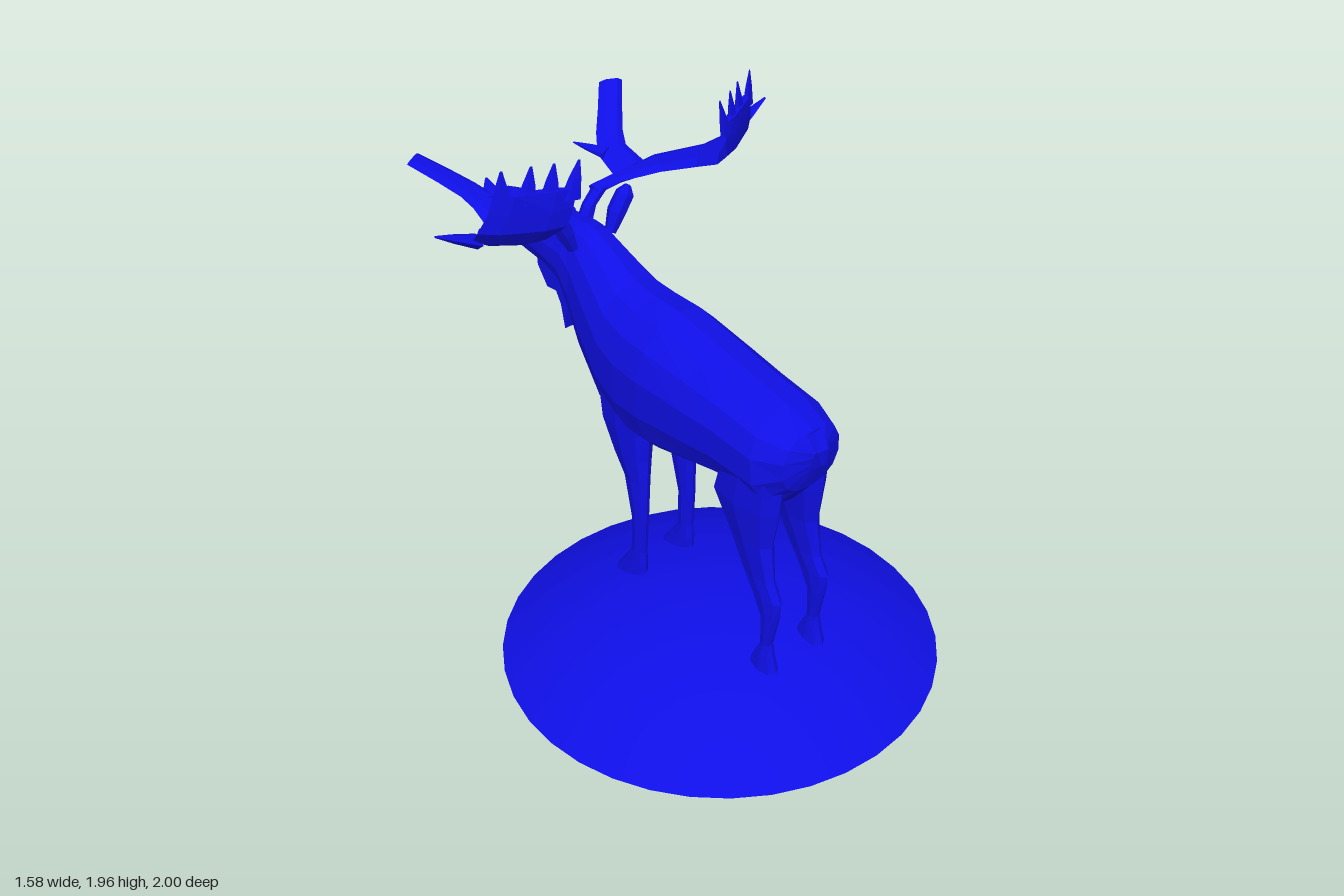
import * as THREE from 'three';

const V = (x, y, z) => new THREE.Vector3(x, y, z);

// Closed, capped skin over a list of equal-length rings, faceted, facing outwards
function loft(rings) {
  const n = rings[0].length, tris = [];
  for (let i = 0; i < rings.length - 1; i++) {
    for (let j = 0; j < n; j++) {
      const k = (j + 1) % n, a = rings[i], b = rings[i + 1];
      tris.push([a[j], b[j], b[k]], [a[j], b[k], a[k]]);
    }
  }
  const cap = (r, flip) => {
    const c = V(0, 0, 0);
    r.forEach(p => c.addScaledVector(p, 1 / n));
    r.forEach((p, j) => {
      const q = r[(j + 1) % n];
      tris.push(flip ? [c, q, p] : [c, p, q]);
    });
  };
  cap(rings[0], false);
  cap(rings[rings.length - 1], true);
  let volume = 0;
  tris.forEach(([a, b, c]) => { volume += a.dot(b.clone().cross(c)); });
  const pts = [];
  tris.forEach(([a, b, c]) => pts.push(...(volume < 0 ? [a, c, b] : [a, b, c])));
  const g = new THREE.BufferGeometry().setFromPoints(pts);
  g.computeVertexNormals();
  return g;
}

// Rounded ring from a centre and two half-axis vectors; low power gives a boxier ring
function ring(c, u, v, sides, power = 1) {
  const f = t => Math.sign(t) * Math.pow(Math.abs(t), power);
  return Array.from({ length: sides }, (_, i) => {
    const a = (i / sides) * Math.PI * 2;
    return c.clone().addScaledVector(u, f(Math.cos(a))).addScaledVector(v, f(Math.sin(a)));
  });
}

export function createModel() {
  const root = new THREE.Group();
  const blue = new THREE.MeshStandardMaterial({ color: 0x0f0fe6 });
  blue.name = 'blue';
  const blueFacet = blue;

  const add = (parent, name, geo) => {
    const m = new THREE.Mesh(geo, blueFacet);
    m.name = name;
    parent.add(m);
    return m;
  };

  // Domed base
  const R = 0.79, H = 0.255, S = (R * R + H * H) / (2 * H);
  const aMax = Math.asin(R / S), profile = [];
  for (let i = 0; i <= 10; i++) {
    const a = aMax * (1 - i / 10);
    profile.push(new THREE.Vector2(Math.max(0, S * Math.sin(a)), H - S + S * Math.cos(a)));
  }
  const base = new THREE.Group();
  base.name = 'base';
  base.position.z = 0.21;
  root.add(base);
  add(base, 'dome', new THREE.LatheGeometry(profile, 36));
  add(base, 'baseUnderside', new THREE.CircleGeometry(R, 36).rotateX(Math.PI / 2));

  const animal = new THREE.Group();
  animal.name = 'animal';
  animal.position.x = -0.012;
  root.add(animal);

  // Trunk, neck and head: top z, top y, bottom z, bottom y, half width
  const trunk = [
    [0.685, 1.14, 0.67, 1.05, 0.03], [0.64, 1.19, 0.64, 0.96, 0.13],
    [0.52, 1.23, 0.56, 0.86, 0.178], [0.35, 1.26, 0.35, 0.86, 0.18],
    [0.2, 1.29, 0.2, 0.83, 0.19], [0, 1.33, 0, 0.79, 0.2],
    [-0.12, 1.335, -0.14, 0.78, 0.19], [-0.22, 1.35, -0.27, 0.83, 0.17],
    [-0.33, 1.41, -0.42, 0.98, 0.135], [-0.42, 1.46, -0.495, 1.09, 0.11],
    [-0.48, 1.465, -0.55, 1.2, 0.105], [-0.6, 1.455, -0.62, 1.235, 0.1],
    [-0.75, 1.445, -0.75, 1.235, 0.08], [-0.87, 1.435, -0.86, 1.245, 0.066],
    [-0.95, 1.41, -0.94, 1.265, 0.058], [-0.995, 1.36, -0.985, 1.3, 0.032],
  ];
  add(animal, 'bodyAndHead', loft(trunk.map(([tz, ty, bz, by, w]) => ring(
    V(0, (ty + by) / 2, (tz + bz) / 2),
    V(0, (ty - by) / 2, (tz - bz) / 2), V(w, 0, 0), 14, 0.88))));

  // Tail
  add(animal, 'tail', loft([
    ring(V(0, 1.18, 0.64), V(0.03, 0, 0), V(0, 0.02, 0.03), 6),
    ring(V(0, 1.13, 0.69), V(0.025, 0, 0), V(0, 0.015, 0.018), 6),
    ring(V(0, 1.08, 0.695), V(0.01, 0, 0), V(0, 0, 0.01), 6),
  ]));

  // Throat beard, outlined as (-z, y)
  const beard = new THREE.Shape([
    [0.5, 1.27], [0.515, 1.17], [0.53, 1.11], [0.565, 1.11], [0.59, 0.985], [0.61, 1.08],
    [0.635, 1.125], [0.685, 1.12], [0.735, 1.19], [0.74, 1.26],
  ].map(p => new THREE.Vector2(...p)));
  const beardGeo = new THREE.ExtrudeGeometry(beard, { depth: 0.04, bevelEnabled: false });
  beardGeo.translate(0, 0, -0.02).rotateY(Math.PI / 2);
  add(animal, 'beard', beardGeo);

  // Leg sections: y, front z, back z, inner x, outer x
  const hind = [
    [1.08, 0.37, 0.62, 0.02, 0.17], [0.87, 0.31, 0.605, 0.03, 0.172],
    [0.72, 0.395, 0.58, 0.06, 0.152], [0.58, 0.46, 0.6, 0.08, 0.138],
    [0.51, 0.505, 0.637, 0.083, 0.138], [0.43, 0.55, 0.625, 0.086, 0.136],
    [0.31, 0.556, 0.598, 0.09, 0.134], [0.26, 0.53, 0.607, 0.085, 0.14],
    [0.195, 0.5, 0.627, 0.078, 0.147],
  ];
  const fore = [
    [1.05, -0.3, 0.02, 0.04, 0.165], [0.85, -0.26, -0.03, 0.045, 0.165],
    [0.73, -0.2, -0.04, 0.06, 0.155], [0.64, -0.15, -0.042, 0.075, 0.143],
    [0.47, -0.113, -0.048, 0.085, 0.138], [0.32, -0.118, -0.056, 0.088, 0.136],
    [0.26, -0.155, -0.052, 0.085, 0.14], [0.19, -0.205, -0.055, 0.078, 0.147],
  ];
  const legGeo = (rows, s) => loft(rows.map(([y, f, b, i, o]) => ring(
    V(s * (i + o) / 2, y, (f + b) / 2), V((o - i) / 2, 0, 0), V(0, 0, (b - f) / 2), 8, 0.85)));

  // Antler sections: inner edge, outer edge, thickness direction
  const palm = [
    [0.1, 1.52, -0.53, 0.1, 1.53, -0.58, 0, 1, 0],
    [0.2, 1.535, -0.52, 0.22, 1.535, -0.58, 0, 1, 0],
    [0.31, 1.565, -0.44, 0.39, 1.555, -0.565, 0, 1, 0.2],
    [0.375, 1.61, -0.32, 0.505, 1.61, -0.43, -0.2, 0.9, -0.4],
    [0.375, 1.66, -0.22, 0.58, 1.68, -0.34, -0.4, 0.6, -0.7],
    [0.345, 1.73, -0.145, 0.595, 1.735, -0.29, -0.45, 0.2, -0.85],
    [0.33, 1.8, -0.13, 0.57, 1.8, -0.265, -0.48, 0, -0.87],
    [0.315, 1.87, -0.125, 0.555, 1.87, -0.25, -0.48, 0, -0.87],
  ];
  const brow = [
    [0.2, 1.535, -0.55, 0.35, 1.54, -0.57, 0, 1, 0],
    [0.225, 1.57, -0.68, 0.34, 1.575, -0.66, 0, 1, 0],
    [0.27, 1.615, -0.74, 0.36, 1.61, -0.7, 0, 1, 0.3],
    [0.33, 1.665, -0.8, 0.41, 1.66, -0.76, 0, 1, 0.5],
    [0.4, 1.72, -0.875, 0.475, 1.72, -0.835, 0, 1, 0.6],
  ];
  const bladeGeo = (rows, s, t) => loft(rows.map(([ax, ay, az, bx, by, bz, nx, ny, nz]) => {
    const a = V(s * ax, ay, az), b = V(s * bx, by, bz);
    return ring(a.clone().add(b).multiplyScalar(0.5), b.clone().sub(a).multiplyScalar(0.5),
      V(s * nx, ny, nz).normalize().multiplyScalar(t), 6);
  }));
  // Tapered flat tine: base, tip, root half-width direction, root half-depth direction
  const tineGeo = (s, p, q, u, v) => loft([1, 0.6, 0.12].map((k, i) => ring(
    V(s * p[0], p[1], p[2]).lerp(V(s * q[0], q[1], q[2]), [0, 0.55, 1][i]),
    V(s * u[0], u[1], u[2]).multiplyScalar(k), V(s * v[0], v[1], v[2]).multiplyScalar(k), 5)));

  for (const [s, side] of [[1, 'left'], [-1, 'right']]) {
    add(animal, side + 'HindLeg', legGeo(hind, s));
    add(animal, side + 'ForeLeg', legGeo(fore, s));

    // Ear
    add(animal, side + 'Ear', loft([
      [0.085, 1.41, -0.45, 0.022], [0.115, 1.48, -0.45, 0.036],
      [0.15, 1.54, -0.445, 0.035], [0.16, 1.57, -0.44, 0.012],
    ].map(([x, y, z, r]) => ring(V(s * x, y, z), V(r * 0.8, -r * 0.4 * s, 0), V(0, 0, r), 6))));

    // Eyelid
    const lid = add(animal, side + 'Eyelid', new THREE.TorusGeometry(0.02, 0.006, 4, 8));
    lid.position.set(s * 0.083, 1.408, -0.66);
    lid.rotation.y = Math.PI / 2;
    lid.scale.y = 0.65;

    const antler = new THREE.Group();
    antler.name = side + 'Antler';
    animal.add(antler);
    add(antler, 'pedicle', loft([[0.05, 1.42, 0.03], [0.075, 1.48, 0.026], [0.13, 1.535, 0.028]].map(
      ([x, y, r]) => ring(V(s * x, y, -0.55), V(r, 0, 0), V(0, 0, r), 6))));
    add(antler, 'palm', bladeGeo(palm, s, 0.016));
    add(antler, 'browBranch', bladeGeo(brow, s, 0.016));
    [[0.335, 0.3], [0.395, 0.375], [0.46, 0.44], [0.53, 0.53]].forEach(([x, tx]) => {
      const z = -0.125 - (x - 0.315) * 0.52;
      add(antler, 'palmTine', tineGeo(s, [x, 1.83, z], [tx, 1.96, z + 0.005],
        [0.033, 0, -0.017], [0.007, 0, 0.014]));
    });
    add(antler, 'outerTine', tineGeo(s, [0.55, 1.665, -0.35], [0.718, 1.75, -0.345],
      [0.005, 0, 0.035], [-0.01, 0.022, 0]));
    add(antler, 'innerBrowTine', tineGeo(s, [0.25, 1.575, -0.66], [0.195, 1.59, -0.775],
      [0.035, 0, -0.015], [0, 0.016, 0]));
  }
  return root;
}
